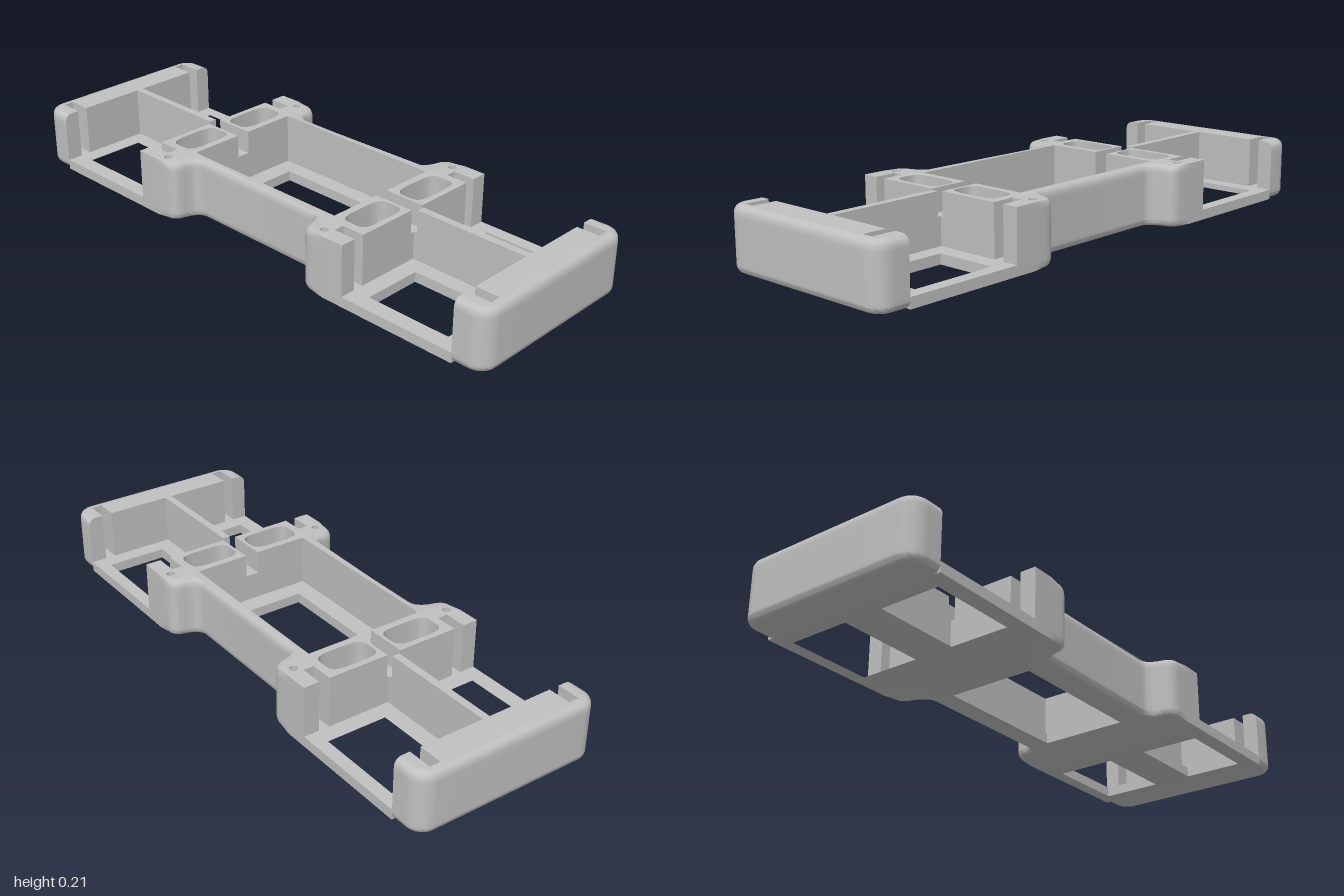
import * as THREE from 'three';
import { toCreasedNormals } from 'three/addons/utils/BufferGeometryUtils.js';

const H = 0.21, FLOOR = 0.035, MID = 0.13, EDGE = 0.025;
const clamp01 = (t) => THREE.MathUtils.clamp(t, 0, 1);

// How far a rounded top or bottom edge pulls in at height y
function inset(y) {
  const t = Math.min(y, H - y);
  if (t >= EDGE) return 0;
  return EDGE - Math.sqrt(Math.max(0, EDGE * EDGE - (EDGE - t) ** 2));
}

// Plan shape (x, z) raised from y0 to y1, with rings packed near the edges
function raise(shape, y0, y1, rule, steps) {
  const h = y1 - y0;
  const geo = new THREE.ExtrudeGeometry(shape, { depth: 1, steps, bevelEnabled: false, curveSegments: 10 });
  geo.rotateX(Math.PI / 2);
  const p = geo.attributes.position;
  const v = new THREE.Vector3();
  for (let i = 0; i < p.count; i++) {
    v.fromBufferAttribute(p, i);
    v.y = y1 - h * (1 - Math.cos(-v.y * Math.PI)) / 2;
    rule(v, inset(v.y));
    p.setXYZ(i, v.x, v.y, v.z);
  }
  return toCreasedNormals(geo, 0.6);
}

const rect = (x0, x1, z0, z1) => [[x0, z0], [x1, z0], [x1, z1], [x0, z1]];
const vectors = (pts) => pts.map(([x, z]) => new THREE.Vector2(x, z));
const shapeOf = (pts) => new THREE.Shape(vectors(pts));
const holeOf = (pts) => new THREE.Path(vectors(pts));
const mirrorX = (pts) => pts.map(([x, z]) => [-x, z]).reverse();

// Side outline running from a corner block, along the waist, to the other block
function waistPoints() {
  const path = new THREE.Path();
  path.moveTo(0.385, 0.3352);
  path.lineTo(0.34, 0.335);
  path.quadraticCurveTo(0.292, 0.335, 0.29, 0.29);
  path.quadraticCurveTo(0.285, 0.245, 0.245, 0.245);
  const right = path.getPoints(8).map((p) => [p.x, p.y]);
  return [...right, ...mirrorX(right)];
}

// Rounded rectangle used by the scooped pockets
const SIDES = 32;
function ring(cx, cz, k) {
  const f = (c) => Math.sign(c) * Math.sqrt(Math.abs(c));
  return Array.from({ length: SIDES }, (_, i) => {
    const a = i / SIDES * Math.PI * 2;
    return [cx + 0.05 * k * f(Math.cos(a)), cz + 0.09 * k * f(Math.sin(a))];
  });
}

// Round the waist and bulges, leaving the outer ends and screw holes alone
function roundWaist(v, d) {
  const ax = Math.abs(v.x), az = Math.abs(v.z);
  if (az < 0.235 || Math.hypot(ax - 0.36, az - 0.3) < 0.018) return;
  const bulge = clamp01((az - 0.25) / 0.05);
  v.z -= Math.sign(v.z) * d * (0.7 - 0.3 * bulge) * clamp01((0.385 - ax) / 0.045);
  v.x += Math.sign(v.x) * d * 0.7 * bulge * clamp01((0.34 - ax) / 0.04);
}

// Round the outside of an end block
function roundEnd(v, d) {
  const ax = Math.abs(v.x), az = Math.abs(v.z), sx = Math.sign(v.x), sz = Math.sign(v.z);
  const dx = ax - 0.94, dz = az - 0.275;
  if (dx > 0 && dz > 0 && Math.hypot(dx, dz) > 0.05) {
    v.x = sx * (0.94 + dx * (0.06 - d) / 0.06);
    v.z = sz * (0.275 + dz * (0.06 - d) / 0.06);
  } else {
    v.x = sx * Math.min(ax, 1 - d);
    v.z = sz * Math.min(az, 0.335 - d);
  }
}

// Scooped pocket bottom, built from shrinking rings
function scoop(cx, cz) {
  const pos = [], index = [], rows = 8;
  for (let r = 0; r <= rows; r++) {
    const a = r / rows * Math.PI / 2;
    for (const [x, z] of ring(cx, cz, Math.cos(a))) pos.push(x, MID - 0.055 * Math.sin(a), z);
  }
  for (let r = 0; r < rows; r++) for (let i = 0; i < SIDES; i++) {
    const a = r * SIDES + i, b = r * SIDES + (i + 1) % SIDES;
    index.push(a, a + SIDES, b, b, a + SIDES, b + SIDES);
  }
  const geo = new THREE.BufferGeometry();
  geo.setAttribute('position', new THREE.Float32BufferAttribute(pos, 3));
  geo.setIndex(index);
  geo.computeVertexNormals();
  return geo;
}

// End block plan with rounded outer corners, and two grooves if wanted
function endShape(s, grooved) {
  const pts = [[0.885, -0.335]];
  for (const sz of [-1, 1]) for (let i = 0; i <= 10; i++) {
    const a = (i / 10 + (sz - 1) / 2) * Math.PI / 2;
    pts.push([0.94 + 0.06 * Math.cos(a), sz * 0.275 + 0.06 * Math.sin(a)]);
  }
  pts.push([0.885, 0.335]);
  if (grooved) {
    pts.push([0.885, 0.28], [0.968, 0.28], [0.968, 0.243], [0.885, 0.243],
      [0.885, -0.243], [0.968, -0.243], [0.968, -0.28], [0.885, -0.28]);
  }
  return shapeOf(pts.map(([x, z]) => [s * x, z]));
}

export function createModel() {
  const group = new THREE.Group();
  const grey = new THREE.MeshStandardMaterial({ color: 0xc0c0c0 });
  grey.name = 'plain grey';
  const add = (name, geo) => {
    const mesh = new THREE.Mesh(geo, grey);
    mesh.name = name;
    group.add(mesh);
    return mesh;
  };

  // Floor of the centre tray with its large window
  const side = waistPoints();
  const edge = [[0.465, 0.335], ...side, [-0.465, 0.335]];
  const floor = shapeOf([...edge, ...edge.map(([x, z]) => [x, -z]).reverse()]);
  floor.holes.push(holeOf(rect(-0.253, 0.253, -0.157, 0.15)));
  add('trayFloor', raise(floor, 0, FLOOR, roundWaist, 8));

  // Centre tray: each half is a wall joining two blocks with grooves, pockets and screw holes
  const half = (s, c, screws) => {
    const block = [[0.32, 0.215], [0.32, c], [0.465, c], [0.465, 0.243], [0.385, 0.243],
      [0.385, 0.28], [0.465, 0.28], [0.465, 0.335]];
    const shape = shapeOf([...block, ...side, ...mirrorX(block)].map(([x, z]) => [x, s * z]));
    for (const sx of [-1, 1]) {
      shape.holes.push(holeOf(ring(sx * 0.395, s * 0.125, 1)));
      if (screws) shape.holes.push(new THREE.Path().absarc(sx * 0.36, s * 0.3, 0.014, 0, Math.PI * 2));
    }
    return shape;
  };
  for (const s of [-1, 1]) {
    add('trayLower', raise(half(s, 0, false), FLOOR, MID, roundWaist, 4));
    add('trayUpper', raise(half(s, 0.024, true), MID, H, roundWaist, 10));
    for (const sx of [-1, 1]) add('pocketScoop', scoop(sx * 0.395, s * 0.125));
  }

  for (const s of [-1, 1]) {
    // Bay floor with two small windows
    const bay = shapeOf(rect(s * 0.465, s * 0.885, -0.335, 0.335));
    bay.holes.push(holeOf(rect(s * 0.525, s * 0.828, -0.29, -0.075)));
    bay.holes.push(holeOf(rect(s * 0.525, s * 0.828, 0.067, 0.278)));
    add('bayFloor', raise(bay, 0, FLOOR, roundWaist, 1));

    // End block, solid at the foot and grooved above
    add('endFoot', raise(endShape(s, false), 0, FLOOR, roundEnd, 8));
    add('endBlock', raise(endShape(s, true), FLOOR, H, roundEnd, 14));

    // Divider between the two bays, with a narrow slit beside the tray
    const wall = new THREE.BoxGeometry(0.407, H - FLOOR, 0.026);
    add('divider', wall).position.set(s * 0.6815, (H + FLOOR) / 2, -0.003);
    const foot = new THREE.BoxGeometry(0.013, MID - FLOOR, 0.026);
    add('dividerFoot', foot).position.set(s * 0.4715, (MID + FLOOR) / 2, -0.003);
  }
  return group;
}
